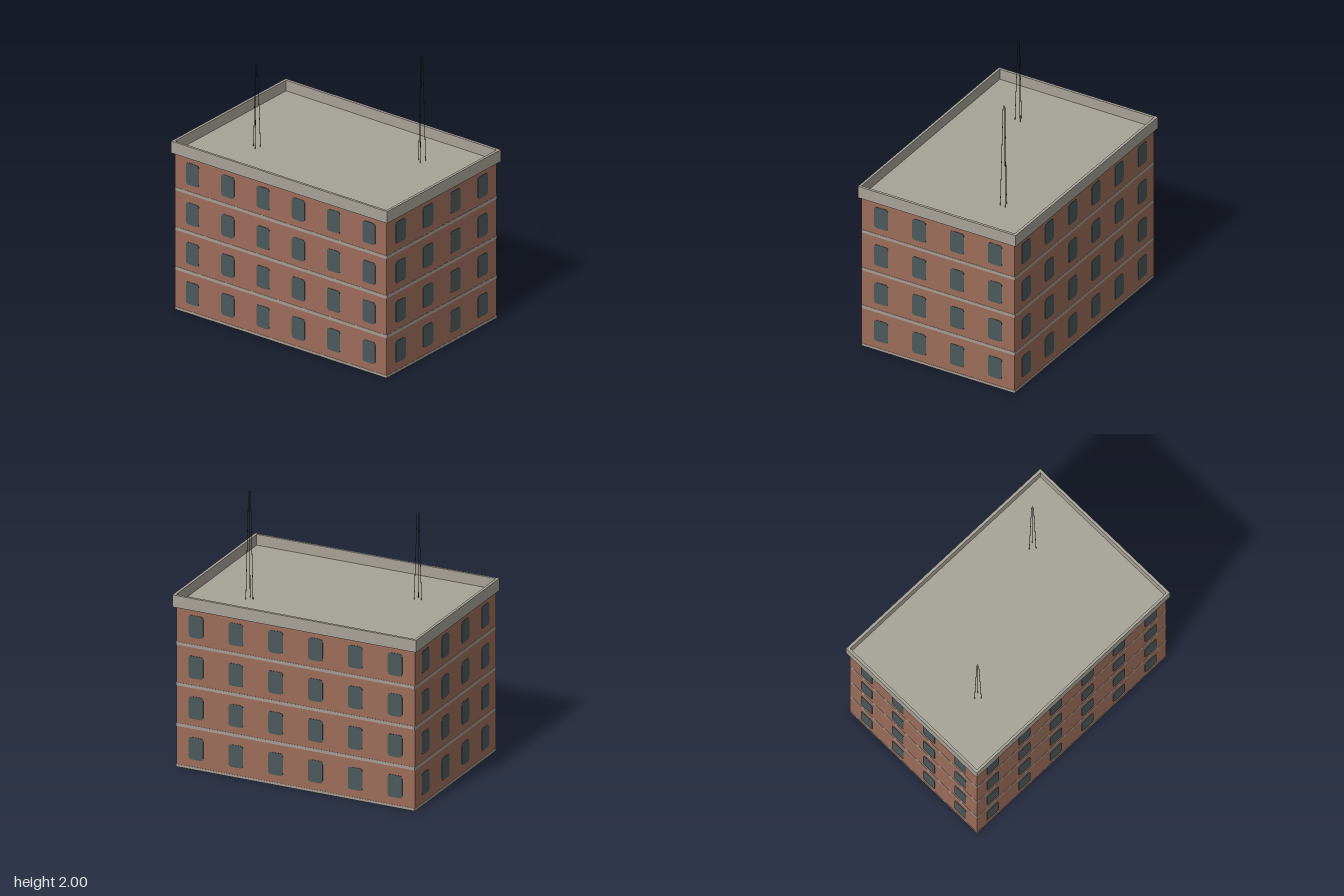
import * as THREE from 'three';

const mat = (name, color, side = THREE.FrontSide) => {
  const m = new THREE.MeshStandardMaterial({ color, side });
  m.name = name;
  return m;
};

const FLOORS = 4, PITCH = 0.302, DECK = 1.2;
// Footprint corners [x, z]: front left, front right, back right, back left as seen from the front
const WALL = [[-0.92, 0.625], [0.92, 0.615], [0.92, -0.622], [-0.92, -0.622]];
const RIM = [[-0.94, 0.643], [0.94, 0.633], [0.94, -0.643], [-0.94, -0.643]];

// Closed outline whose extrusion runs upward after rotateX(-90 degrees)
const outline = (pts) => pts.map(([x, z]) => new THREE.Vector2(x, -z));

// Window pane with softened corners
function paneGeometry(w, h, r, t) {
  const x = w / 2, y = h / 2;
  const s = new THREE.Shape();
  s.moveTo(-x + r, -y);
  s.lineTo(x - r, -y);
  s.quadraticCurveTo(x, -y, x, -y + r);
  s.lineTo(x, y - r);
  s.quadraticCurveTo(x, y, x - r, y);
  s.lineTo(-x + r, y);
  s.quadraticCurveTo(-x, y, -x, y - r);
  s.lineTo(-x, -y + r);
  s.quadraticCurveTo(-x, -y, -x + r, -y);
  return new THREE.ExtrudeGeometry(s, { depth: t, bevelEnabled: false, curveSegments: 3 })
    .translate(0, 0, -t / 2);
}

export function createModel() {
  const brick = mat('brick', 0x9c6c5a, THREE.DoubleSide);
  const stone = mat('band stone', 0xa59b90);
  const glass = mat('window glass', 0x4b585c);
  const concrete = mat('roof concrete', 0xa6a297, THREE.DoubleSide);
  const metal = mat('antenna metal', 0x33312f);

  const model = new THREE.Group();
  model.name = 'apartmentBlock';
  const add = (parent, name, geo, material) => {
    const m = new THREE.Mesh(geo, material);
    m.name = name;
    parent.add(m);
    return m;
  };

  // Four open-bottomed walls; thin plates show on both faces of the sheet
  const pane = paneGeometry(0.112, 0.166, 0.022, 0.006);
  ['frontWall', 'leftWall', 'backWall', 'rightWall'].forEach((name, i) => {
    const [ax, az] = WALL[i], [bx, bz] = WALL[(i + 1) % 4];
    const length = Math.hypot(bx - ax, bz - az);
    const wall = new THREE.Group();
    wall.name = name;
    wall.position.set((ax + bx) / 2, 0, (az + bz) / 2);
    wall.rotation.y = Math.atan2(-(bz - az), bx - ax);
    model.add(wall);

    add(wall, 'brickwork', new THREE.PlaneGeometry(length, DECK).translate(0, DECK / 2, 0), brick);

    const columns = i % 2 ? 4 : 6;
    for (let f = 0; f < FLOORS; f++) {
      const h = f ? 0.024 : 0.02;
      const y = f ? 0.013 + f * PITCH : 0.01;
      add(wall, 'stoneBand', new THREE.BoxGeometry(length, h, 0.004), stone).position.y = y;
      for (let c = 0; c < columns; c++) {
        add(wall, 'window', pane, glass)
          .position.set((c - (columns - 1) / 2) * 0.307, 0.158 + f * PITCH, 0);
      }
    }
  });

  // Roof deck and overhanging parapet
  const deck = new THREE.ShapeGeometry(new THREE.Shape(outline(WALL)));
  add(model, 'roofDeck', deck.rotateX(-Math.PI / 2).translate(0, DECK, 0), concrete);
  const rim = new THREE.Shape(outline(RIM));
  rim.holes.push(new THREE.Path(outline(WALL)));
  const parapet = new THREE.ExtrudeGeometry(rim, { depth: 0.09, bevelEnabled: false });
  add(model, 'parapet', parapet.rotateX(-Math.PI / 2).translate(0, 1.19, 0), concrete);

  // Three-legged antennas leaning in towards the top
  const up = new THREE.Vector3(0, 1, 0);
  for (const [x, z, top] of [[-0.52, 0.225, 1.83], [0.52, -0.293, 2]]) {
    const antenna = new THREE.Group();
    antenna.name = 'antenna';
    antenna.position.set(x, 0, z);
    model.add(antenna);
    for (const angle of [185, 313, 70]) {
      const a = THREE.MathUtils.degToRad(angle);
      const foot = new THREE.Vector3(Math.cos(a) * 0.028, DECK, Math.sin(a) * 0.028);
      const tip = new THREE.Vector3(Math.cos(a) * 0.008, top, Math.sin(a) * 0.008);
      const dir = tip.clone().sub(foot);
      const leg = add(antenna, 'antennaLeg',
        new THREE.CylinderGeometry(0.002, 0.002, dir.length(), 5), metal);
      leg.position.copy(foot).add(tip).multiplyScalar(0.5);
      leg.quaternion.setFromUnitVectors(up, dir.normalize());
    }
  }
  return model;
}
